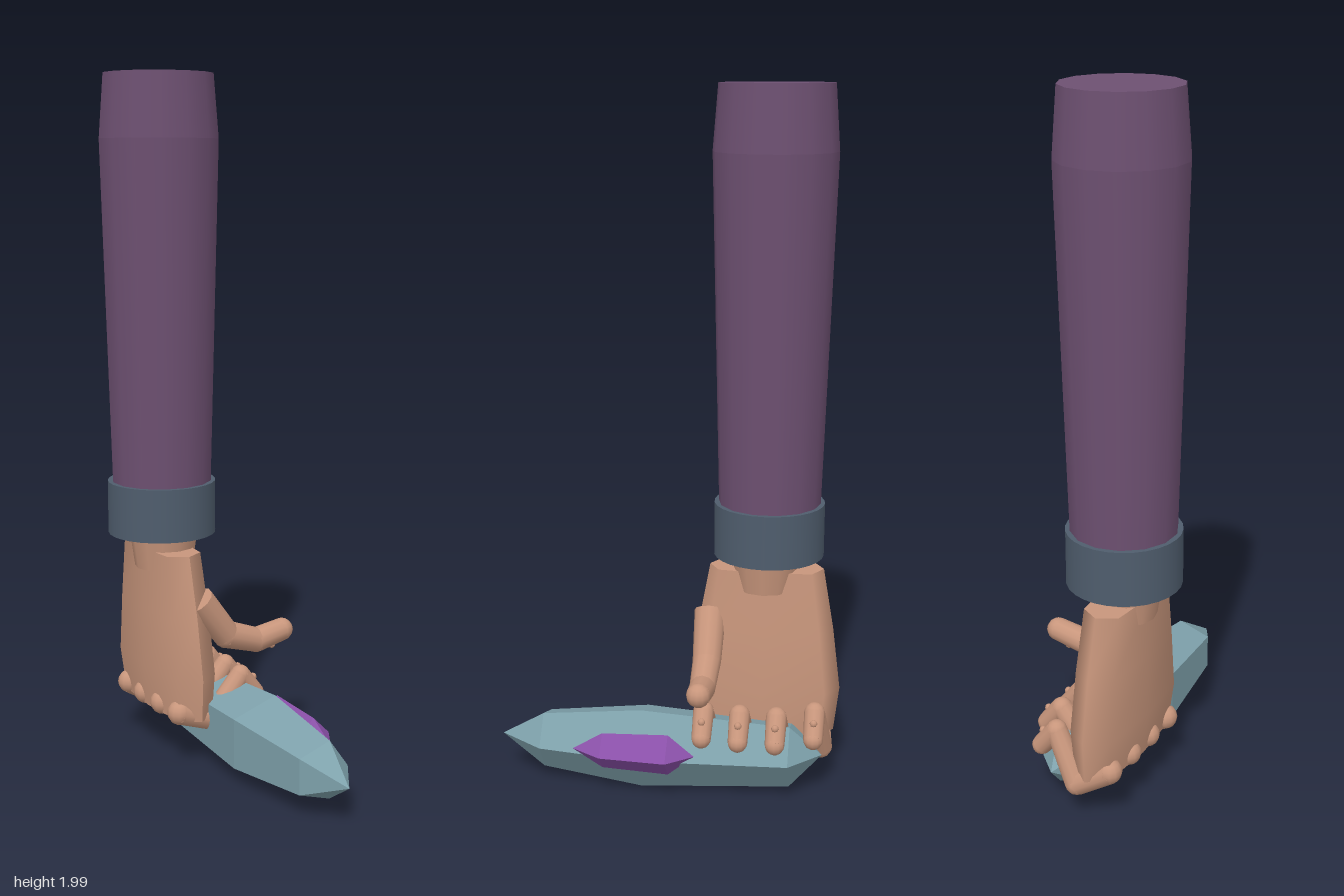
import * as THREE from 'three';

const mat = (name, color, flatShading = false) => {
  const m = new THREE.MeshStandardMaterial({ color, flatShading });
  m.name = name;
  return m;
};

export function createModel() {
  const root = new THREE.Group();
  root.name = 'handWithCrystal';
  const skin = mat('skin', 0xc8967c);
  const cloth = mat('sleeve cloth', 0x6d5071);
  const band = mat('cuff slate', 0x4f5d6d);
  const stone = mat('pale blue crystal', 0x7ea1ab, true);
  const violet = mat('violet crystal', 0x8a50a8, true);

  const add = (parent, name, geometry, material, x = 0, y = 0, z = 0) => {
    const m = new THREE.Mesh(geometry, material);
    m.name = name;
    m.position.set(x, y, z);
    parent.add(m);
    return m;
  };

  // Tapered rod between two points, with no rotation left to guess
  const rod = (parent, name, a, b, r0, r1) => {
    const d = b.clone().sub(a);
    const m = add(parent, name, new THREE.CylinderGeometry(r1, r0, d.length(), 12), skin);
    m.position.copy(a).addScaledVector(d, 0.5);
    m.quaternion.setFromUnitVectors(new THREE.Vector3(0, 1, 0), d.normalize());
  };

  // Chain of rods with round joints; points are [x, y, z, radius]
  const digit = (name, points, roundStart) => {
    const g = new THREE.Group();
    g.name = name;
    points.forEach(([x, y, z, r], i) => {
      const p = new THREE.Vector3(x, y, z);
      if (i > 0 || roundStart) add(g, 'joint', new THREE.SphereGeometry(r, 12, 8), skin, x, y, z);
      if (i > 0) {
        const q = points[i - 1];
        rod(g, 'phalanx', new THREE.Vector3(q[0], q[1], q[2]), p, q[3], r);
      }
    });
    root.add(g);
    return g;
  };

  // Sleeve and cuff
  const ax = -0.093, az = -0.277;
  add(root, 'sleeve', new THREE.CylinderGeometry(0.172, 0.145, 1.02, 14), cloth, ax, 1.31, az);
  add(root, 'sleeveTop', new THREE.CylinderGeometry(0.158, 0.172, 0.18, 14), cloth, ax, 1.91, az);
  add(root, 'cuff', new THREE.CylinderGeometry(0.158, 0.158, 0.155, 28), band, ax, 0.76, az);
  add(root, 'wrist', new THREE.CylinderGeometry(0.105, 0.085, 0.14, 12), skin, ax, 0.65, -0.268);

  // Palm: flattened octagonal tube that widens towards the knuckles
  const rings = [ // y, centre x, half thickness, half width
    [0.15, -0.08, 0.068, 0.205],
    [0.28, -0.085, 0.078, 0.22],
    [0.46, -0.09, 0.073, 0.197],
    [0.64, -0.097, 0.066, 0.165],
  ];
  const palm = new THREE.CylinderGeometry(1, 1, 3, 8, 3);
  const pos = palm.attributes.position;
  const square = (v) => (Math.abs(v) < 1e-4 ? 0 : Math.sign(v) * Math.abs(v) ** 0.6);
  for (let i = 0; i < pos.count; i++) {
    const [y, cx, rx, rz] = rings[Math.round(pos.getY(i) + 1.5)];
    pos.setXYZ(i, cx + square(pos.getX(i)) * rx, y, -0.272 + square(pos.getZ(i)) * rz);
  }
  palm.computeVertexNormals();
  add(root, 'palm', palm, skin);

  // Four fingers curling round the crystal; the last is set further in
  ['indexFinger', 'middleFinger', 'ringFinger', 'littleFinger'].forEach((name, i) => {
    const z = -0.113 - i * 0.105;
    const s = i === 3 ? -0.05 : i === 0 ? -0.01 : 0;
    const low = i === 3 ? 0.115 : 0.135;
    const f = digit(name, [
      [-0.13, 0.175, z, 0.036],
      [-0.015 + s * 0.4, low, z - (i === 3 ? 0.015 : 0), 0.035],
      [0.088 + s, 0.252, z, 0.03],
      [0.138 + s, 0.19, z, 0.028],
    ], true);
    add(f, 'nail', new THREE.SphereGeometry(0.011, 8, 6), skin, 0.133 + s, 0.238, z);
  });

  // Thumb
  const thumb = digit('thumb', [
    [-0.065, 0.505, -0.112, 0.046],
    [0.03, 0.385, -0.115, 0.041],
    [0.135, 0.35, -0.117, 0.037],
    [0.228, 0.367, -0.118, 0.034],
  ], false);
  add(thumb, 'nail', new THREE.SphereGeometry(0.011, 8, 6), skin, 0.192, 0.325, -0.118);

  // Faceted crystal along z; rings are [z, radius], the ends are points
  const crystal = (name, sides, x, y, profile, material) => {
    const v = [], idx = [];
    profile.forEach(([z, r]) => {
      for (let k = 0; k < sides; k++) {
        const a = (k / sides) * Math.PI * 2;
        v.push(x + r * Math.cos(a), y + r * Math.sin(a), z);
      }
    });
    for (let i = 0; i < profile.length - 1; i++) {
      for (let k = 0; k < sides; k++) {
        const a = i * sides + k, b = i * sides + ((k + 1) % sides);
        const c = a + sides, d = b + sides;
        if (profile[i][1] > 0) idx.push(a, b, d);
        if (profile[i + 1][1] > 0) idx.push(a, d, c);
      }
    }
    let g = new THREE.BufferGeometry();
    g.setAttribute('position', new THREE.Float32BufferAttribute(v, 3));
    g.setIndex(idx);
    g = g.toNonIndexed();
    g.computeVertexNormals();
    add(root, name, g, material);
  };
  crystal('largeCrystal', 5, 0.045, 0.125,
    [[-0.452, 0], [-0.36, 0.097], [0.07, 0.125], [0.36, 0.088], [0.49, 0]], stone);
  crystal('smallCrystal', 4, 0.149, 0.142,
    [[-0.095, 0], [-0.02, 0.061], [0.17, 0.053], [0.257, 0]], violet);

  return root;
}
